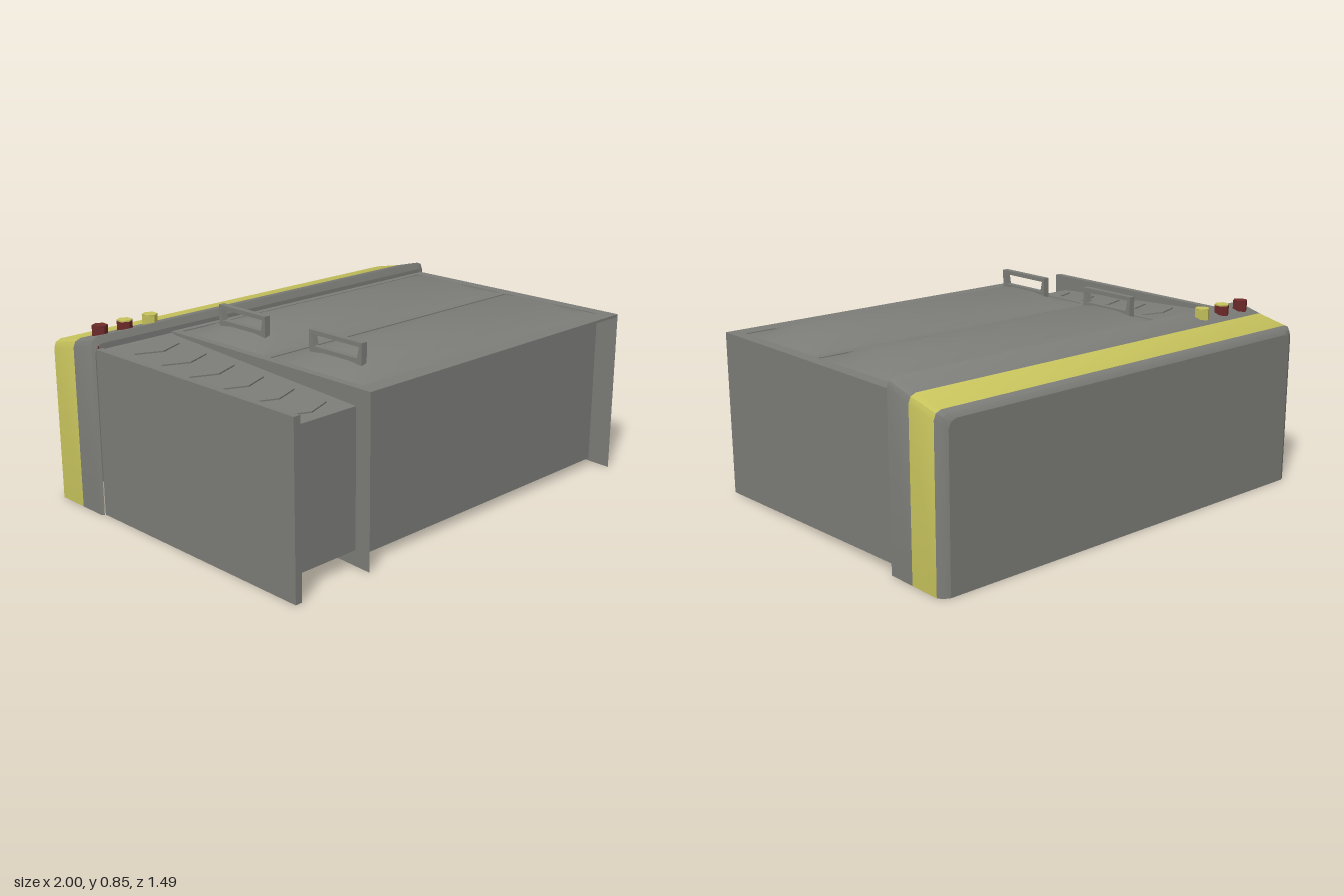
import * as THREE from 'three';
import { toCreasedNormals } from 'three/addons/utils/BufferGeometryUtils.js';

const mat = (name, color) => {
  const m = new THREE.MeshStandardMaterial({ color, side: THREE.DoubleSide });
  m.name = name;
  return m;
};

// Surface through rows of points (each row has the same count)
function loft(rows, crease = 0.6) {
  const n = rows[0].length, idx = [];
  for (let r = 0; r < rows.length - 1; r++) {
    for (let i = 0; i < n - 1; i++) {
      const a = r * n + i, b = a + 1, c = a + n, d = c + 1;
      idx.push(a, b, c, b, d, c);
    }
  }
  const g = new THREE.BufferGeometry();
  g.setAttribute('position', new THREE.Float32BufferAttribute(rows.flat(2), 3));
  g.setIndex(idx);
  return toCreasedNormals(g, crease);
}

export function createModel() {
  const root = new THREE.Group();
  root.name = 'cookingCounter';
  const gray = mat('warmGray', 0x7c7c78);
  const yellow = mat('mutedYellow', 0xc6c25c);
  const red = mat('darkRed', 0x6e2a2a);

  const add = (name, geo, material, x = 0, y = 0, z = 0) => {
    const m = new THREE.Mesh(geo, material);
    m.name = name;
    m.position.set(x, y, z);
    root.add(m);
    return m;
  };
  const box = (name, x0, x1, y0, y1, z0, z1) =>
    add(name, new THREE.BoxGeometry(x1 - x0, y1 - y0, z1 - z0), gray,
      (x0 + x1) / 2, (y0 + y1) / 2, (z0 + z1) / 2);

  // Rear console: arches from front to back, open below
  const base = 0.015;
  const arch = ([z, top, w]) => [
    [w, base, z], [w, top - 0.035, z], [w - 0.01, top - 0.01, z], [w - 0.035, top, z],
    [-w + 0.035, top, z], [-w + 0.01, top - 0.01, z], [-w, top - 0.035, z], [-w, base, z],
  ];
  const consolePart = (name, stations, m) => add(name, loft(stations.map(arch)), m);
  consolePart('consoleFront', [[-0.43, 0.76, 0.99], [-0.442, 0.79, 1], [-0.57, 0.757, 1]], gray);
  consolePart('consoleBand', [[-0.57, 0.757, 1], [-0.715, 0.727, 1]], yellow);
  consolePart('consoleRear', [[-0.715, 0.727, 1], [-0.735, 0.715, 0.985], [-0.748, 0.695, 0.96]], gray);
  const back = new THREE.Shape(arch([0, 0.695, 0.96]).map(([x, y]) => new THREE.Vector2(x, y)));
  add('consoleBack', new THREE.ShapeGeometry(back), gray, 0, 0, -0.748).material = gray;
  add('consoleLip', new THREE.PlaneGeometry(1.94, 0.1), gray, 0, 0.71, -0.431);

  // Upright sheets: outer side and divider, with a sloping lower edge
  for (const [name, x] of [['leftSide', 0.98], ['divider', -0.6]]) {
    add(name, loft([
      [[x, 0.05, -0.43], [x, 0.74, -0.43]],
      [[x, base, 0.745], [x, 0.74, 0.745]],
    ]), gray);
  }
  box('rightSide', -0.985, -0.953, base, 0.74, -0.43, 0.745);

  // Deck with two openings
  const rect = (C, x0, x1, z0, z1) => {
    const s = new C();
    s.moveTo(x0, -z1).lineTo(x1, -z1).lineTo(x1, -z0).lineTo(x0, -z0).closePath();
    return s;
  };
  const bays = [[-0.4, 0.12], [0.155, 0.67]];
  const deckShape = rect(THREE.Shape, -0.6, 0.98, -0.43, 0.745);
  for (const [z0, z1] of bays) deckShape.holes.push(rect(THREE.Path, -0.565, 0.925, z0, z1));
  const deckGeo = new THREE.ExtrudeGeometry(deckShape, { depth: 0.012, bevelEnabled: false });
  deckGeo.rotateX(-Math.PI / 2);
  add('deck', deckGeo, gray, 0, 0.73, 0);

  // Tanks, domed lids and handles
  const handleShape = new THREE.Shape([
    [-0.145, 0.765], [0.145, 0.765], [0.145, 0.86], [-0.145, 0.86],
  ].map(([x, y]) => new THREE.Vector2(x, y)));
  handleShape.holes.push(new THREE.Path([
    [-0.12, 0.795], [-0.13, 0.842], [0.13, 0.842], [0.12, 0.795],
  ].map(([x, y]) => new THREE.Vector2(x, y))));
  const handleGeo = new THREE.ExtrudeGeometry(handleShape, { depth: 0.028, bevelEnabled: false });
  handleGeo.rotateY(Math.PI / 2);

  const dome = [[-1, 0], [-0.8, 0.02], [-0.55, 0.04], [-0.25, 0.05], [0.25, 0.05], [0.55, 0.04], [0.8, 0.02], [1, 0]];
  const lidStations = [[-0.565, 0], [-0.425, 1], [0.785, 1], [0.925, 0]];
  for (const [z0, z1] of bays) {
    const zc = (z0 + z1) / 2, half = (z1 - z0) / 2;
    box('tank', -0.57, 0.93, 0.052, 0.732, z0, z1);
    const rows = dome.map(([t, h]) => lidStations.map(([x, k]) => [x, 0.738 + h * k, zc + t * half]));
    add('lid', loft(rows), gray);
    add('lidHandle', handleGeo, gray, -0.456, 0, zc);
  }

  // Sloping side plate with its front wall
  add('sidePlate', loft([
    [[-0.953, 0.735, -0.43], [-0.6, 0.735, -0.43]],
    [[-0.953, 0.73, -0.4], [-0.6, 0.73, -0.4]],
    [[-0.953, 0.67, 0.67], [-0.6, 0.67, 0.67]],
    [[-0.953, 0.085, 0.67], [-0.6, 0.085, 0.67]],
  ]), gray);

  // Row of raised diamonds on the plate
  const diamond = new THREE.Shape([[-0.115, 0], [0, -0.042], [0.115, 0], [0, 0.042]]
    .map(([x, y]) => new THREE.Vector2(x, y)));
  const diamondGeo = new THREE.ExtrudeGeometry(diamond, { depth: 0.006, bevelEnabled: false });
  diamondGeo.rotateX(-Math.PI / 2 + 0.056);
  for (let i = 0; i < 6; i++) {
    const z = -0.3 + i * 0.175;
    add('plateDiamond', diamondGeo, gray, -0.775, 0.73 - (z + 0.4) * 0.056, z);
  }

  // Control knobs with tapering stems below
  const knobs = [[-0.91, red, red], [-0.785, red, yellow], [-0.655, yellow, yellow]];
  for (const [x, body, cap] of knobs) {
    add('knob', toCreasedNormals(new THREE.CylinderGeometry(0.033, 0.033, 0.06, 6), 0.5), body, x, 0.78, -0.505);
    add('knobCap', new THREE.CylinderGeometry(0.033, 0.033, 0.006, 6), cap, x, 0.813, -0.505);
    add('knobStem', new THREE.ConeGeometry(0.012, 0.72, 6).rotateX(Math.PI), cap, x, 0.4, -0.505);
  }
  return root;
}
